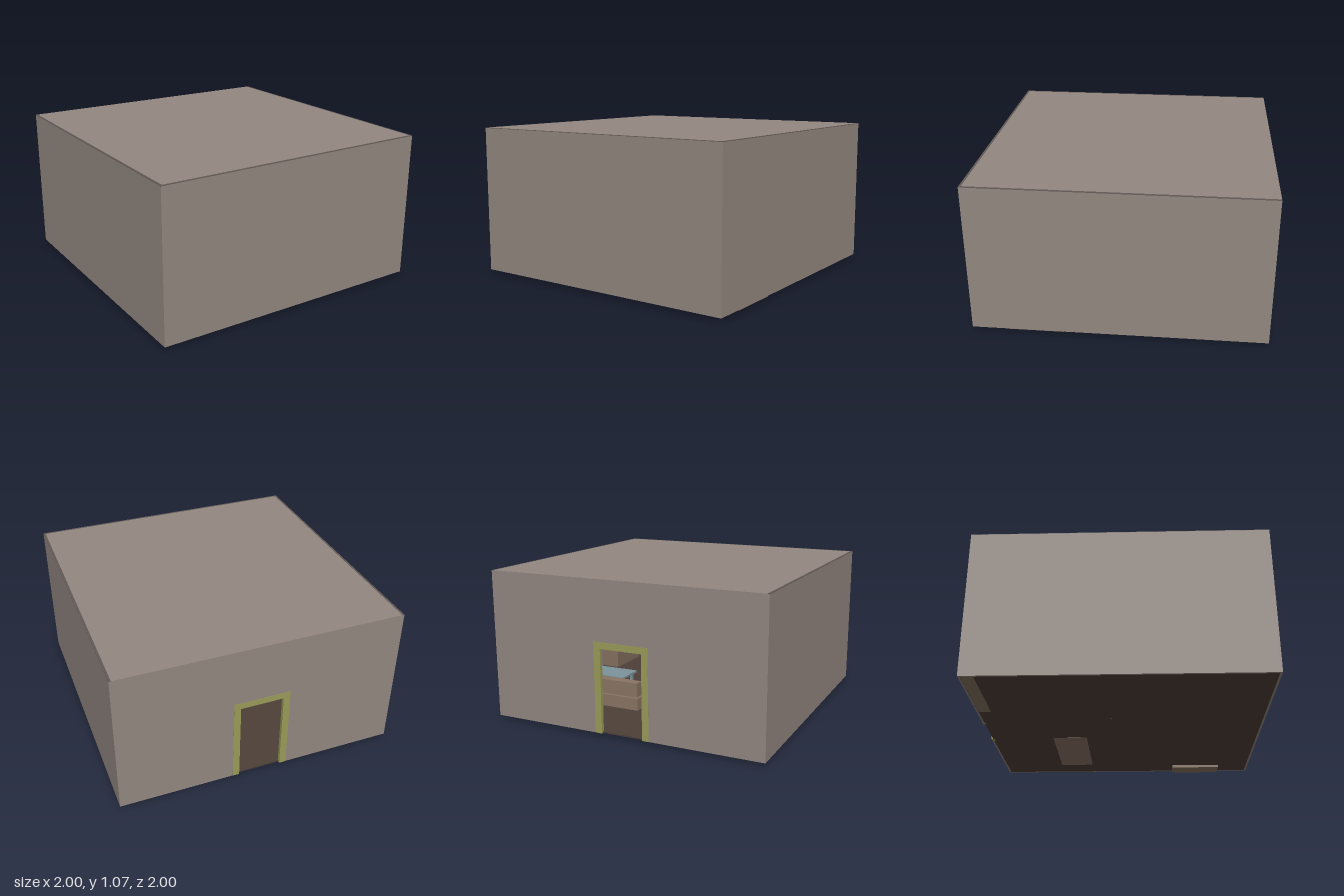
import * as THREE from 'three';

const mat = (color) => new THREE.MeshStandardMaterial({ color, flatShading: true });
const wallMat = mat(0x938780);
const edgeMat = mat(0x625955);
const floorMat = mat(0x4c3f38);
const woodMat = mat(0x857060);
const clothMat = mat(0x8a7464);
const frameMat = mat(0x9a9a58);
const glassMat = mat(0x7d929a);

// Box given by its lower and upper limits on each axis
function box(parent, name, material, [x0, x1], [y0, y1], [z0, z1]) {
  const mesh = new THREE.Mesh(new THREE.BoxGeometry(x1 - x0, y1 - y0, z1 - z0), material);
  mesh.position.set((x0 + x1) / 2, (y0 + y1) / 2, (z0 + z1) / 2);
  mesh.name = name;
  parent.add(mesh);
  return mesh;
}

function group(parent, name) {
  const g = new THREE.Group();
  g.name = name;
  parent.add(g);
  return g;
}

const BASE = 0.02, TOP = 1.065, T = 0.015;

function buildShell(root) {
  const shell = group(root, 'roomShell');
  box(shell, 'floor', floorMat, [-1 + T, 1 - T], [BASE, 0.03], [-1 + T, 1 - T]);
  box(shell, 'ceiling', wallMat, [-1 + T, 1 - T], [TOP - 0.012, TOP], [-0.998, 1 - T]);
  box(shell, 'frontWall', wallMat, [-1, 1], [BASE, TOP - 0.003], [1 - T, 1]);
  box(shell, 'frontWallCap', edgeMat, [-1, 1], [TOP - 0.003, TOP], [1 - T, 1]);
  for (const s of [-1, 1]) {
    const span = s < 0 ? [-1, -1 + T] : [1 - T, 1];
    box(shell, 'sideWall', wallMat, span, [BASE, TOP - 0.003], [-0.998, 1 - T]);
    box(shell, 'sideWallCap', edgeMat, span, [TOP - 0.003, TOP], [-0.998, 1 - T]);
  }

  // Back wall with the doorway notched out of its lower edge
  const w = 1 - T, h = TOP - 0.012, d = 0.16, dh = 0.61;
  const outline = [[-w, BASE], [-d, BASE], [-d, dh], [d, dh], [d, BASE], [w, BASE], [w, h], [-w, h]];
  const shape = new THREE.Shape(outline.map(([x, y]) => new THREE.Vector2(x, y)));
  const back = new THREE.Mesh(
    new THREE.ExtrudeGeometry(shape, { depth: T, bevelEnabled: false }), wallMat);
  back.position.z = -0.998;
  back.name = 'backWall';
  shell.add(back);
}

function buildDoorFrame(root) {
  const frame = group(root, 'doorFrame');
  const depth = [-1, -0.975];
  box(frame, 'doorPost', frameMat, [-0.2, -0.152], [BASE, 0.65], depth);
  box(frame, 'doorPost', frameMat, [0.152, 0.2], [BASE, 0.65], depth);
  box(frame, 'doorHead', frameMat, [-0.152, 0.152], [0.605, 0.65], depth);
}

// Couch with its back turned to the doorway
function buildCouch(root) {
  const couch = group(root, 'couch');
  box(couch, 'couchBase', clothMat, [0.14, 0.8], [0.019, 0.12], [-0.53, -0.28]);
  box(couch, 'couchBack', clothMat, [0.15, 0.79], [0.125, 0.23], [-0.52, -0.45]);
  for (const x of [0.21, 0.475]) {
    box(couch, 'seatCushion', clothMat, [x, x + 0.255], [0.12, 0.155], [-0.45, -0.28]);
  }
  for (const x of [0.14, 0.74]) {
    box(couch, 'couchArm', clothMat, [x, x + 0.06], [0.12, 0.19], [-0.45, -0.28]);
  }
}

function buildTable(root) {
  const table = group(root, 'glassTable');
  box(table, 'tableTop', glassMat, [0.45, 0.85], [0.13, 0.145], [-0.2, 0.02]);
  for (const x of [0.47, 0.81]) for (const z of [-0.18, -0.02]) {
    box(table, 'tableLeg', glassMat, [x, x + 0.02], [0.03, 0.13], [z, z + 0.02]);
  }
}

// Open shelf unit against the back wall
function buildShelf(root) {
  const shelf = group(root, 'shelfUnit');
  const z = [-0.982, -0.9];
  for (let i = 0; i < 5; i++) {
    const y = 0.019 + i * 0.13;
    box(shelf, 'shelfBoard', woodMat, [-0.985, -0.4], [y, y + 0.018], z);
  }
  for (const x of [-0.985, -0.418]) {
    box(shelf, 'shelfSide', woodMat, [x, x + 0.018], [0.019, 0.557], z);
  }
}

export function createModel() {
  const root = new THREE.Group();
  root.name = 'room';
  buildShell(root);
  buildDoorFrame(root);
  buildCouch(root);
  buildTable(root);
  buildShelf(root);
  // Low cabinet by the side wall, its foot reaching below the floor
  box(root, 'cabinet', woodMat, [0.835, 0.975], [0, 0.26], [0.38, 0.755]);
  // Tip of a thin post just showing under the floor
  box(root, 'lampPost', floorMat, [-0.245, -0.235], [0.017, 0.4], [-0.085, -0.075]);
  return root;
}
